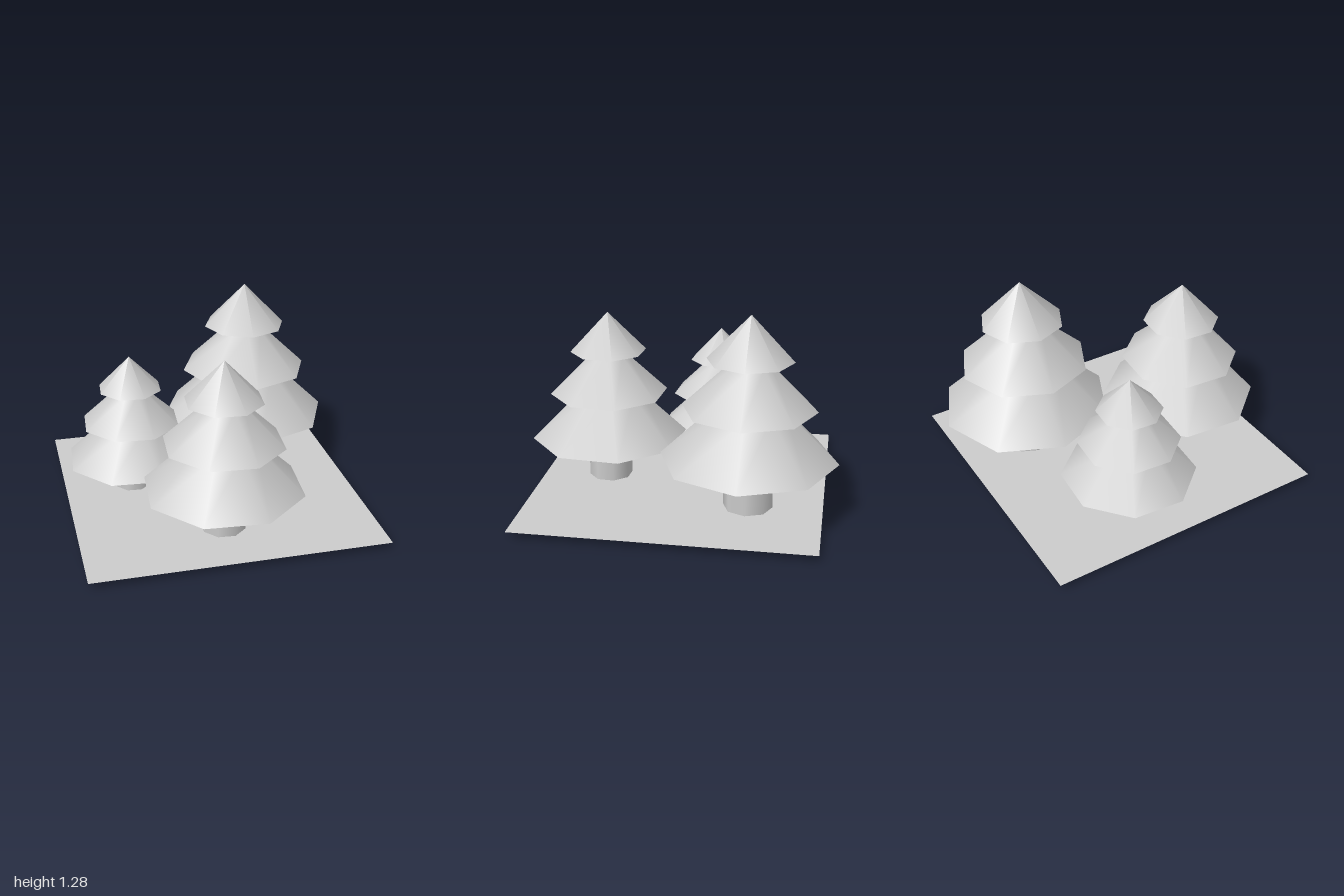
import * as THREE from 'three';

const material = new THREE.MeshStandardMaterial({ color: 0xcccccc, side: THREE.DoubleSide });

// Open eight-sided ring between two heights
function ring(name, rTop, rBottom, yBottom, yTop) {
  const geometry = new THREE.CylinderGeometry(rTop, rBottom, yTop - yBottom, 8, 1, true);
  geometry.translate(0, (yTop + yBottom) / 2, 0);
  const mesh = new THREE.Mesh(geometry, material);
  mesh.name = name;
  return mesh;
}

// One tree: trunk and three tiers of branches, standing on its own origin
function tree(name, x, y, z, scale, turn) {
  const group = new THREE.Group();
  group.name = name;
  group.add(
    ring('trunk', 0.155, 0.155, 0, 0.48),
    ring('lowerBranches', 0.215, 0.555, 0.32, 0.65),
    ring('middleBranches', 0.127, 0.417, 0.65, 0.93),
    ring('topBranches', 0, 0.268, 0.955, 1.235)
  );
  group.position.set(x, y, z);
  group.scale.setScalar(scale);
  group.rotation.y = THREE.MathUtils.degToRad(turn);
  return group;
}

export function createModel() {
  const model = new THREE.Group();
  model.name = 'pineTrees';

  // Flat ground sheet, which the lower trunks reach through
  const groundGeometry = new THREE.PlaneGeometry(1.86, 1.86);
  groundGeometry.rotateX(-Math.PI / 2);
  const ground = new THREE.Mesh(groundGeometry, material);
  ground.name = 'groundSheet';
  ground.position.set(0, 0.043, 0.017);
  model.add(ground);

  model.add(
    tree('largeTree', 0.355, 0.05, -0.445, 1, -1.5),
    tree('mediumTree', -0.025, 0.03, 0.515, 0.915, 18),
    tree('smallTree', -0.48, 0, -0.165, 0.773, 18)
  );
  return model;
}
